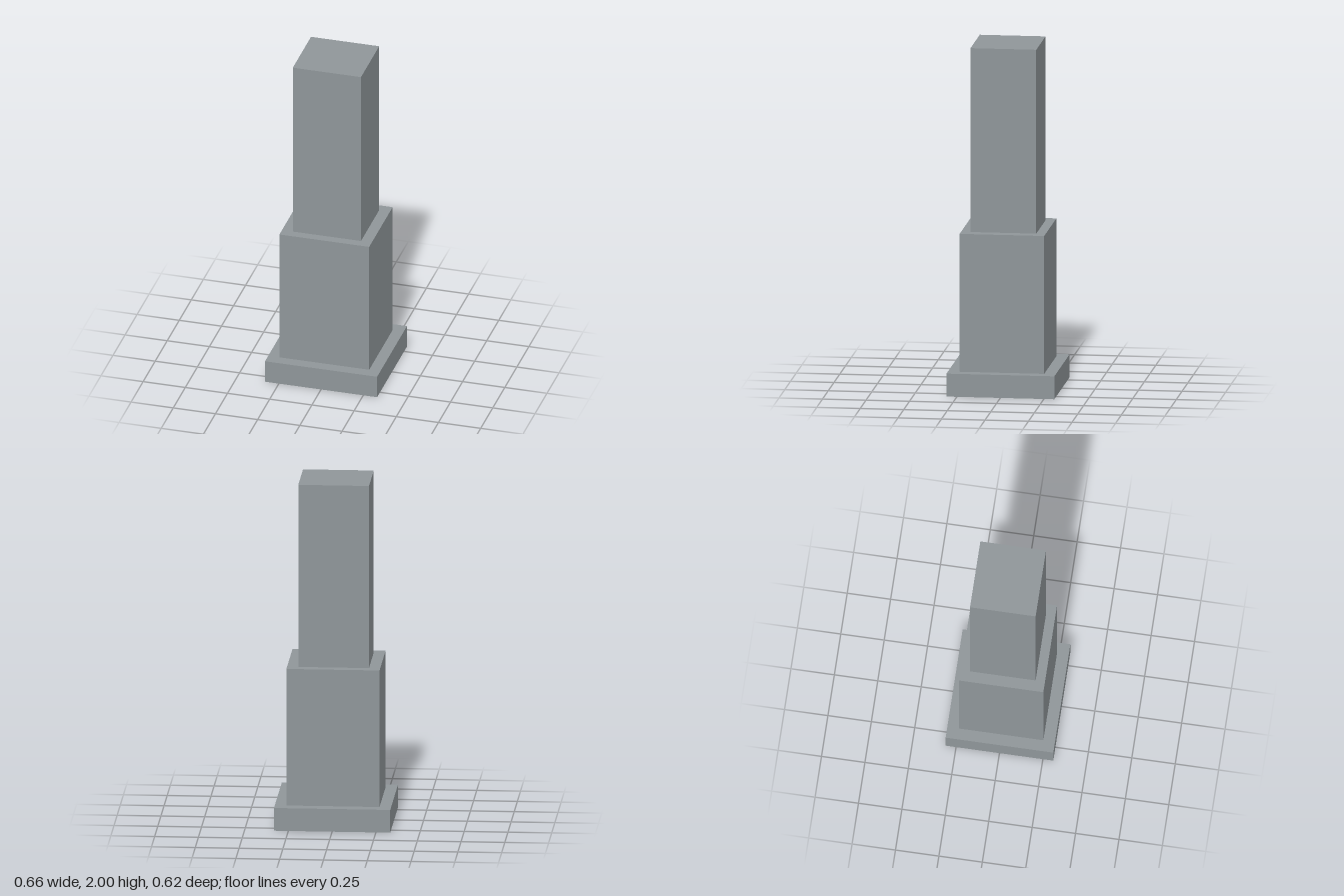
import * as THREE from 'three';

// Stepped rectangular pillar: each tier sits on the one below it
const TIERS = [
  { name: 'basePlinth', width: 0.664, depth: 0.62, bottom: 0, top: 0.133 },
  { name: 'lowerShaft', width: 0.532, depth: 0.486, bottom: 0.133, top: 0.933 },
  { name: 'upperShaft', width: 0.404, depth: 0.378, bottom: 0.933, top: 2 },
];

export function createModel() {
  const group = new THREE.Group();
  group.name = 'steppedPillar';

  const stone = new THREE.MeshStandardMaterial({ color: 0x8f9699 });
  stone.name = 'greyStone';

  for (const { name, width, depth, bottom, top } of TIERS) {
    const tier = new THREE.Mesh(new THREE.BoxGeometry(width, top - bottom, depth), stone);
    tier.name = name;
    tier.position.y = (bottom + top) / 2;
    group.add(tier);
  }
  return group;
}
